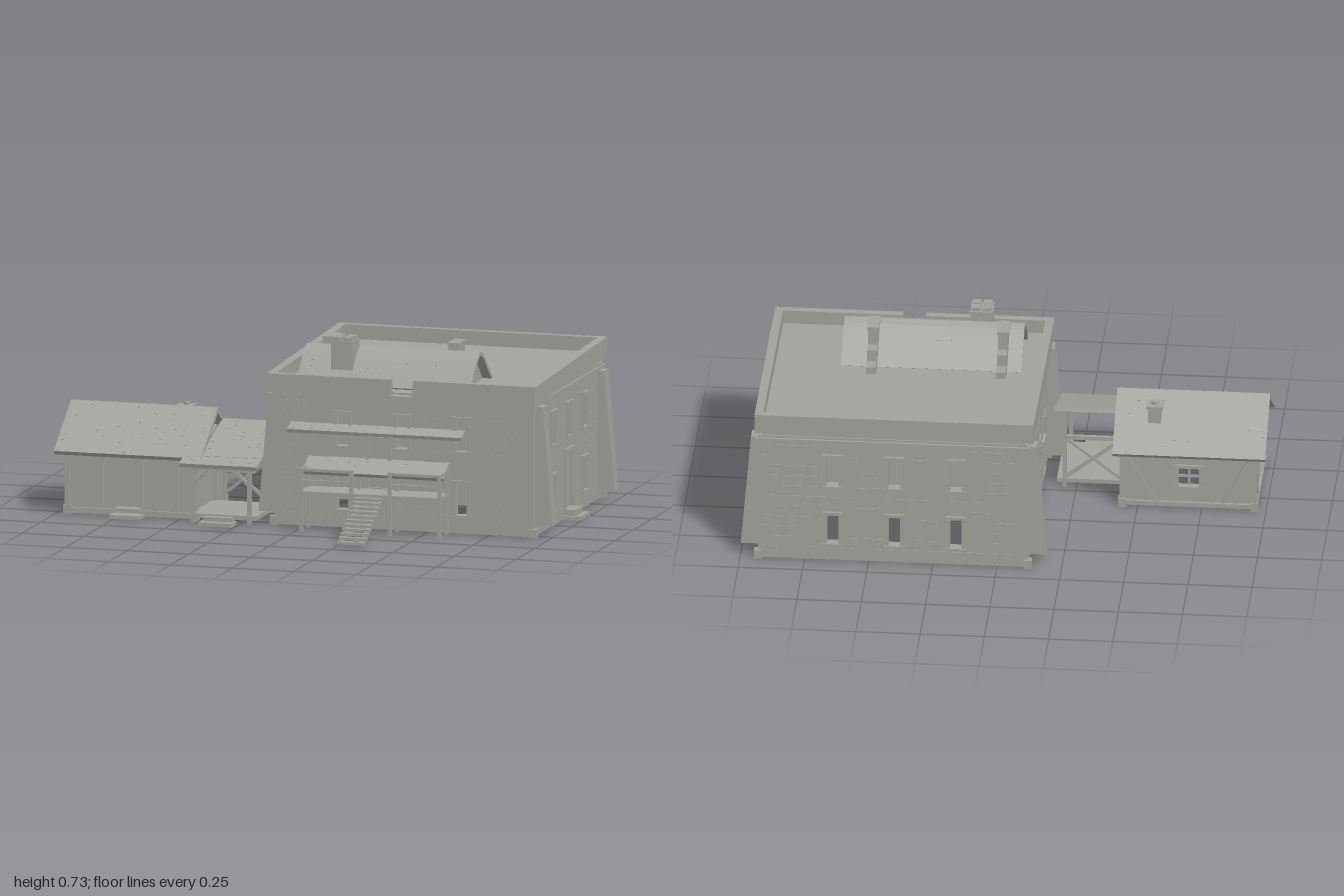
import * as THREE from 'three';
import { mergeGeometries } from 'three/addons/utils/BufferGeometryUtils.js';

const stone = new THREE.MeshStandardMaterial({ color: 0xa3a39d });
stone.name = 'stone grey';

let seed = 7;
const rnd = () => (seed = (seed * 16807) % 2147483647) / 2147483647;

function add(parent, name, geo) {
  const m = new THREE.Mesh(geo, stone);
  m.name = name;
  parent.add(m);
  return m;
}
function group(parent, name) {
  const g = new THREE.Group();
  g.name = name;
  parent.add(g);
  return g;
}
const boxGeo = (x0, x1, y0, y1, z0, z1) =>
  new THREE.BoxGeometry(x1 - x0, y1 - y0, z1 - z0).translate((x0 + x1) / 2, (y0 + y1) / 2, (z0 + z1) / 2);
const box = (p, name, ...b) => add(p, name, boxGeo(...b));

// Square beam between two points
function beam(p, name, a, b, t = 0.012) {
  const A = new THREE.Vector3(...a), B = new THREE.Vector3(...b), d = B.clone().sub(A);
  const m = add(p, name, new THREE.BoxGeometry(t, d.length(), t));
  m.position.copy(A).add(B).multiplyScalar(0.5);
  m.quaternion.setFromUnitVectors(new THREE.Vector3(0, 1, 0), d.normalize());
}

// Prism along x from a (z, y) outline
function prism(p, name, pts, x0, x1) {
  const s = new THREE.Shape(pts.map(([z, y]) => new THREE.Vector2(-z, y)));
  const g = new THREE.ExtrudeGeometry(s, { depth: x1 - x0, bevelEnabled: false });
  return add(p, name, g.rotateY(Math.PI / 2).translate(x0, 0, 0));
}

// Sloping slab whose top runs from back [z, y] to front [z, y], with optional loose shingles
function slab(p, name, x0, x1, a, b, t, shingles = false) {
  const g = group(p, name), len = Math.hypot(b[0] - a[0], b[1] - a[1]);
  g.position.set(0, (a[1] + b[1]) / 2, (a[0] + b[0]) / 2);
  g.rotation.x = -Math.atan2(b[1] - a[1], b[0] - a[0]);
  box(g, name + 'Board', x0, x1, -t, 0, -len / 2, len / 2);
  if (!shingles) return;
  const list = [];
  for (let z = -len / 2 + 0.012; z < len / 2 - 0.02; z += 0.028)
    for (let x = x0 + 0.01; x < x1 - 0.03; x += 0.026)
      if (rnd() < 0.3) list.push(boxGeo(x, x + 0.014, -0.001, 0.0006, z, z + 0.012));
  add(g, name + 'Shingles', mergeGeometries(list));
}

// Wall with its outer face at local z = 0; openings are [centre, bottom, width, height, isDoor]
function wall(p, name, u0, u1, h, openings, thick, bricks) {
  const g = group(p, name);
  const s = new THREE.Shape([[u0, 0.008], [u1, 0.008], [u1, h], [u0, h]].map(q => new THREE.Vector2(...q)));
  const frames = [];
  for (const [u, v, w, hh, door] of openings) {
    const l = u - w / 2, r = u + w / 2, t = v + hh, f = 0.012, e = 0.008;
    s.holes.push(new THREE.Path([[l, v], [l, t], [r, t], [r, v]].map(q => new THREE.Vector2(...q))));
    frames.push(boxGeo(l - f, l, v, t, -thick, e), boxGeo(r, r + f, v, t, -thick, e),
      boxGeo(l - f - 0.004, r + f + 0.004, t, t + f, -thick, e + 0.003));
    if (door) frames.push(boxGeo(l, r, v, t, -0.02, -0.008));
    else frames.push(boxGeo(l - f - 0.004, r + f + 0.004, v - f, v, -thick, e + 0.003));
    // Glazing bars on wide windows
    if (!door && w > 0.06) frames.push(boxGeo(u - 0.004, u + 0.004, v, t, -0.012, -0.004),
      boxGeo(l, r, v + hh / 2 - 0.004, v + hh / 2 + 0.004, -0.012, -0.004));
  }
  add(g, name + 'Panel', new THREE.ExtrudeGeometry(s, { depth: thick, bevelEnabled: false }).translate(0, 0, -thick));
  if (frames.length) add(g, name + 'Frames', mergeGeometries(frames));
  if (bricks) {
    const list = [];
    for (let v = 0.02; v < h - 0.07; v += 0.044)
      for (let u = u0 + 0.03 * rnd() + 0.01; u < u1 - 0.1;) {
        const w = 0.05 + 0.06 * rnd();
        const hit = openings.some(o => Math.abs(u + w / 2 - o[0]) < w / 2 + o[2] / 2 + 0.02 &&
          v + 0.042 > o[1] - 0.016 && v < o[1] + o[3] + 0.016);
        if (!hit && rnd() < 0.8) list.push(boxGeo(u, u + w, v, v + 0.041, -0.001, 0.002));
        u += w + 0.003;
      }
    add(g, name + 'Bricks', mergeGeometries(list));
  }
  return g;
}

// Four walls around a rectangle; openings use world x or z as their centre
function walls(p, [x0, x1, z0, z1], h, o, thick, bricks) {
  const neg = a => a.map(([u, ...r]) => [-u, ...r]);
  const place = (g, x, z, ry) => { g.position.set(x, 0, z); g.rotation.y = ry; };
  place(wall(p, 'frontWall', x0, x1, h, o.front, thick, bricks), 0, z1, 0);
  place(wall(p, 'backWall', -x1, -x0, h, neg(o.back), thick, bricks), 0, z0, Math.PI);
  place(wall(p, 'leftWall', -z1 + thick, -z0 - thick, h, neg(o.left), thick, bricks), x1, 0, Math.PI / 2);
  place(wall(p, 'rightWall', z0 + thick, z1 - thick, h, o.right, thick, bricks), x0, 0, -Math.PI / 2);
}

function mainHouse(root) {
  const g = group(root, 'mainHouse');
  const up = u => [u, 0.33, 0.046, 0.125], low = u => [u, 0.08, 0.046, 0.125];
  const row = [0.16, 0.4, 0.64], side = [0.025, -0.19, -0.4];
  walls(g, [-0.12, 0.93, -0.66, 0.285], 0.54, {
    front: [...row.map(up), low(0.16), low(0.64), [0.305, 0.17, 0.08, 0.19, true]],
    back: [...row.map(up), ...row.map(low)],
    left: [...side.map(up), low(0.025), low(-0.4), [-0.185, 0.045, 0.09, 0.225, true]],
    right: [...side.map(up), low(0.025), low(-0.4)],
  }, 0.03, true);
  // Inner partitions and sill ring
  box(g, 'crossPartition', -0.09, 0.9, 0.015, 0.54, -0.285, -0.27);
  box(g, 'partition', 0.43, 0.445, 0.015, 0.54, -0.27, 0.255);
  for (const [a, b, c, d] of [[-0.1, 0.91, 0.2, 0.27], [-0.1, 0.91, -0.64, -0.57], [-0.1, -0.03, -0.57, 0.2], [0.84, 0.91, -0.57, 0.2]])
    box(g, 'floorEdge', a, b, 0.008, 0.02, c, d);
  // Trim band, corner blocks and parapet
  box(g, 'frontTrim', -0.128, 0.938, 0.512, 0.53, 0.28, 0.298);
  box(g, 'backTrim', -0.128, 0.938, 0.512, 0.53, -0.668, -0.655);
  for (const x of [-0.128, 0.926]) box(g, 'sideTrim', x, x + 0.012, 0.512, 0.53, -0.66, 0.29);
  for (const x of [-0.135, 0.915]) for (const z of [-0.67, 0.265])
    box(g, 'cornerBlock', x, x + 0.03, 0.005, 0.04, z, z + 0.03);
  for (const x of [-0.143, 0.91])
    prism(g, 'sideParapet', [[0.3, 0.53], [0.3, 0.602], [-0.675, 0.635], [-0.675, 0.555]], x, x + 0.033);
  box(g, 'backParapet', -0.11, 0.91, 0.55, 0.634, -0.675, -0.645);
  box(g, 'frontParapet', -0.11, 0.355, 0.53, 0.602, 0.27, 0.3);
  box(g, 'frontParapet', 0.445, 0.91, 0.53, 0.602, 0.27, 0.3);
  box(g, 'scupper', 0.355, 0.445, 0.53, 0.54, 0.265, 0.312);
  slab(g, 'roofDeck', -0.115, 0.915, [-0.65, 0.578], [0.275, 0.547], 0.015);
  // Leaning buttresses
  for (const z of [-0.63, 0.203]) for (const s of [-1, 1]) {
    const sh = new THREE.Shape([[0.515, 0.05], [0.595, 0.05], [0.555, 0.517], [0.515, 0.517]].map(q => new THREE.Vector2(s * q[0], q[1])));
    add(g, 'buttress', new THREE.ExtrudeGeometry(sh, { depth: 0.054, bevelEnabled: false })).position.set(0.405, 0, z);
  }
  // Side door steps
  box(g, 'doorStep', 0.925, 1, 0.005, 0.022, -0.248, -0.125);
  box(g, 'doorStep', 0.925, 0.975, 0.022, 0.045, -0.238, -0.135);
}

function archedRoof(root) {
  const g = group(root, 'archedRoof');
  const arc = [[-0.09, 0.56], [-0.03, 0.612], [0.015, 0.656], [0.045, 0.678], [0.075, 0.689], [0.105, 0.678], [0.135, 0.656], [0.18, 0.608], [0.22, 0.555]];
  for (let i = 0; i < arc.length - 1; i++) slab(g, 'archPanel', -0.047, 0.655, arc[i], arc[i + 1], 0.014, i === 1 || i === 6);
  prism(g, 'archBody', arc.map(([z, y]) => [0.07 + (z - 0.07) * 0.9, y - 0.011]), -0.01, 0.62);
  // Stepped vents at the rear
  for (const x of [0.01, 0.515]) {
    box(g, 'ventStack', x, x + 0.038, 0.55, 0.7, -0.05, 0.042);
    box(g, 'ventCap', x - 0.004, x + 0.042, 0.7, 0.712, -0.054, 0.046);
    box(g, 'ventStep', x, x + 0.038, 0.55, 0.635, -0.1, -0.05);
    box(g, 'ventFoot', x, x + 0.038, 0.55, 0.59, -0.155, -0.1);
  }
  // Chimney with four square pots
  box(g, 'chimney', 0.08, 0.168, 0.56, 0.722, 0.09, 0.18);
  for (const x of [0.086, 0.129]) for (const z of [0.098, 0.14])
    box(g, 'chimneyPot', x, x + 0.034, 0.72, 0.735, z, z + 0.034);
}

function porch(root) {
  const g = group(root, 'frontPorch');
  box(g, 'porchDeck', 0.02, 0.592, 0.152, 0.166, 0.28, 0.415);
  slab(g, 'upperAwning', -0.05, 0.655, [0.285, 0.415], [0.345, 0.395], 0.014, true);
  slab(g, 'lowerAwning', 0.02, 0.59, [0.285, 0.285], [0.37, 0.237], 0.014, true);
  // Posts and handrails, open at the stairs
  for (const x of [0.027, 0.23, 0.385, 0.585]) {
    box(g, 'porchPost', x - 0.007, x + 0.007, 0.005, 0.257, 0.4, 0.414);
    box(g, 'wallPost', x - 0.006, x + 0.006, 0.005, 0.25, 0.3, 0.312);
  }
  for (const y of [0.205, 0.25]) {
    beam(g, 'porchRail', [0.027, y, 0.407], [0.23, y, 0.407], 0.011);
    beam(g, 'porchRail', [0.385, y, 0.407], [0.585, y, 0.407], 0.011);
  }
  for (const x of [0.027, 0.585]) beam(g, 'sideRail', [x, 0.25, 0.407], [x, 0.25, 0.285], 0.01);
  // Stairs
  for (let i = 0; i < 11; i++) {
    const z = 0.42 + i * 0.0235, y = 0.15 - i * 0.0132;
    box(g, 'stairTread', 0.25, 0.362, y - 0.006, y + 0.005, z - 0.008, z + 0.016);
  }
  for (const x of [0.262, 0.342]) slab(g, 'stairStringer', x, x + 0.01, [0.405, 0.156], [0.655, 0.021], 0.015);
}

function annex(root) {
  const g = group(root, 'annex');
  const x0 = -0.955, x1 = -0.44, z0 = -0.105, z1 = 0.28;
  const win = [0.1, 0.08, 0.08];
  walls(g, [x0, x1, z0, z1], 0.25, {
    front: [[-0.705, 0.04, 0.09, 0.19, true]], back: [[-0.7, ...win]], left: [], right: [[0.0875, ...win]],
  }, 0.02, false);
  for (const x of [x0, x1 - 0.02]) prism(g, 'gable', [[z1, 0.25], [0.0875, 0.385], [z0, 0.25]], x, x + 0.02);
  slab(g, 'rearRoof', -1, -0.405, [-0.15, 0.25], [0.087, 0.418], 0.018, true);
  slab(g, 'frontRoof', -1, -0.405, [0.085, 0.418], [0.32, 0.255], 0.018, true);
  // Timber frame
  for (const x of [x0, x1]) for (const z of [z0, z1]) {
    box(g, 'cornerPost', x - 0.01, x + 0.01, 0.04, 0.25, z - 0.01, z + 0.01);
    box(g, 'postFoot', x - 0.015, x + 0.015, 0.005, 0.04, z - 0.015, z + 0.015);
  }
  for (const z of [z0 - 0.003, z1 + 0.003]) for (const y of [0.024, 0.24])
    beam(g, 'longBeam', [x0, y, z], [x1, y, z], 0.016);
  for (const y of [0.024, 0.25]) beam(g, 'endBeam', [x0 - 0.003, y, z0], [x0 - 0.003, y, z1], 0.016);
  for (const [a, b] of [[-0.94, -0.83], [-0.455, -0.57]]) beam(g, 'backBrace', [a, 0.23, z0 - 0.002], [b, 0.03, z0 - 0.002]);
  for (const [a, b] of [[-0.09, -0.01], [0.265, 0.185]]) beam(g, 'endBrace', [x0 - 0.002, 0.23, a], [x0 - 0.002, 0.03, b]);
  for (const x of [-0.815, -0.6, -0.51]) box(g, 'frontStud', x - 0.005, x + 0.005, 0.03, 0.235, z1 - 0.002, z1 + 0.006);
  for (const [w, y, z] of [[0.062, 0.02, 0.35], [0.05, 0.042, 0.32]]) box(g, 'annexStep', -0.705 - w, -0.705 + w, y - 0.015, y, 0.275, z);
  // Chimney
  box(g, 'annexChimney', -0.585, -0.535, 0.3, 0.395, -0.035, 0.015);
  box(g, 'annexChimneyCap', -0.593, -0.527, 0.395, 0.405, -0.043, 0.023);
  add(g, 'annexPot', new THREE.CylinderGeometry(0.013, 0.013, 0.01, 8)).position.set(-0.56, 0.41, -0.01);
}

function breezeway(root) {
  const g = group(root, 'breezeway');
  slab(g, 'passageRoof', -0.41, -0.167, [0.01, 0.362], [0.3, 0.263], 0.016, true);
  slab(g, 'passageEave', -0.48, -0.167, [0.285, 0.267], [0.362, 0.24], 0.016, true);
  box(g, 'passageFloor', -0.44, -0.175, 0.025, 0.042, 0.03, 0.34);
  for (const x of [-0.432, -0.205]) {
    box(g, 'frontPost', x - 0.008, x + 0.008, 0.005, 0.235, 0.322, 0.338);
    box(g, 'rearPost', x - 0.008, x + 0.008, 0.005, 0.34, 0.03, 0.046);
    beam(g, 'sideRafter', [x, 0.335, 0.035], [x, 0.227, 0.335], 0.014);
  }
  box(g, 'frontBeam', -0.45, -0.18, 0.212, 0.23, 0.32, 0.34);
  box(g, 'rearBeam', -0.435, -0.2, 0.212, 0.228, 0.03, 0.044);
  beam(g, 'crossBrace', [-0.42, 0.05, 0.038], [-0.215, 0.21, 0.038]);
  beam(g, 'crossBrace', [-0.42, 0.21, 0.04], [-0.215, 0.05, 0.04]);
  beam(g, 'frontKnee', [-0.425, 0.16, 0.33], [-0.375, 0.215, 0.33], 0.01);
  beam(g, 'frontKnee', [-0.21, 0.16, 0.33], [-0.26, 0.215, 0.33], 0.01);
  box(g, 'passageStep', -0.39, -0.255, 0.005, 0.02, 0.34, 0.405);
  box(g, 'passageStep', -0.38, -0.265, 0.02, 0.036, 0.335, 0.37);
}

export function createModel() {
  const root = new THREE.Group();
  root.name = 'stoneHouse';
  for (const part of [mainHouse, archedRoof, porch, annex, breezeway]) part(root);
  root.position.y = -0.004;
  return root;
}
